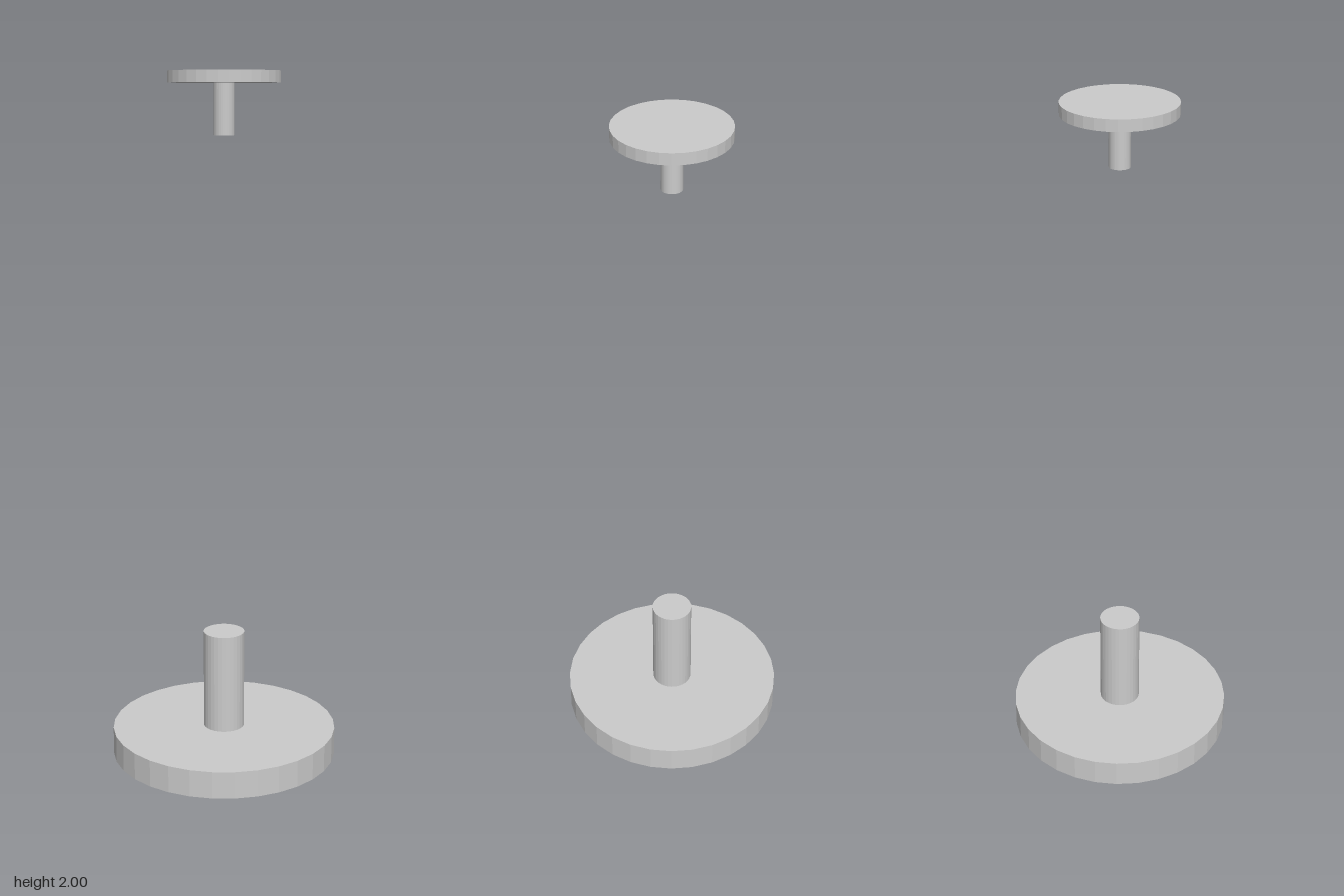
import * as THREE from 'three';

const SIDES = 32;

export function createModel() {
  const group = new THREE.Group();
  const material = new THREE.MeshStandardMaterial({ color: 0xcccccc, flatShading: true });

  // Upright cylinder spanning two heights
  function addDisc(name, radius, bottom, top) {
    const mesh = new THREE.Mesh(
      new THREE.CylinderGeometry(radius, radius, top - bottom, SIDES),
      material
    );
    mesh.name = name;
    mesh.position.y = (bottom + top) / 2;
    group.add(mesh);
  }

  // Lower stand: wide foot and short post
  addDisc('basePlate', 0.333, 0, 0.08);
  addDisc('basePost', 0.061, 0.08, 0.376);

  // Upper fitting: small plate with a stem hanging below, floating above the post
  addDisc('topStem', 0.029, 1.826, 1.968);
  addDisc('topPlate', 0.157, 1.968, 2);

  return group;
}
